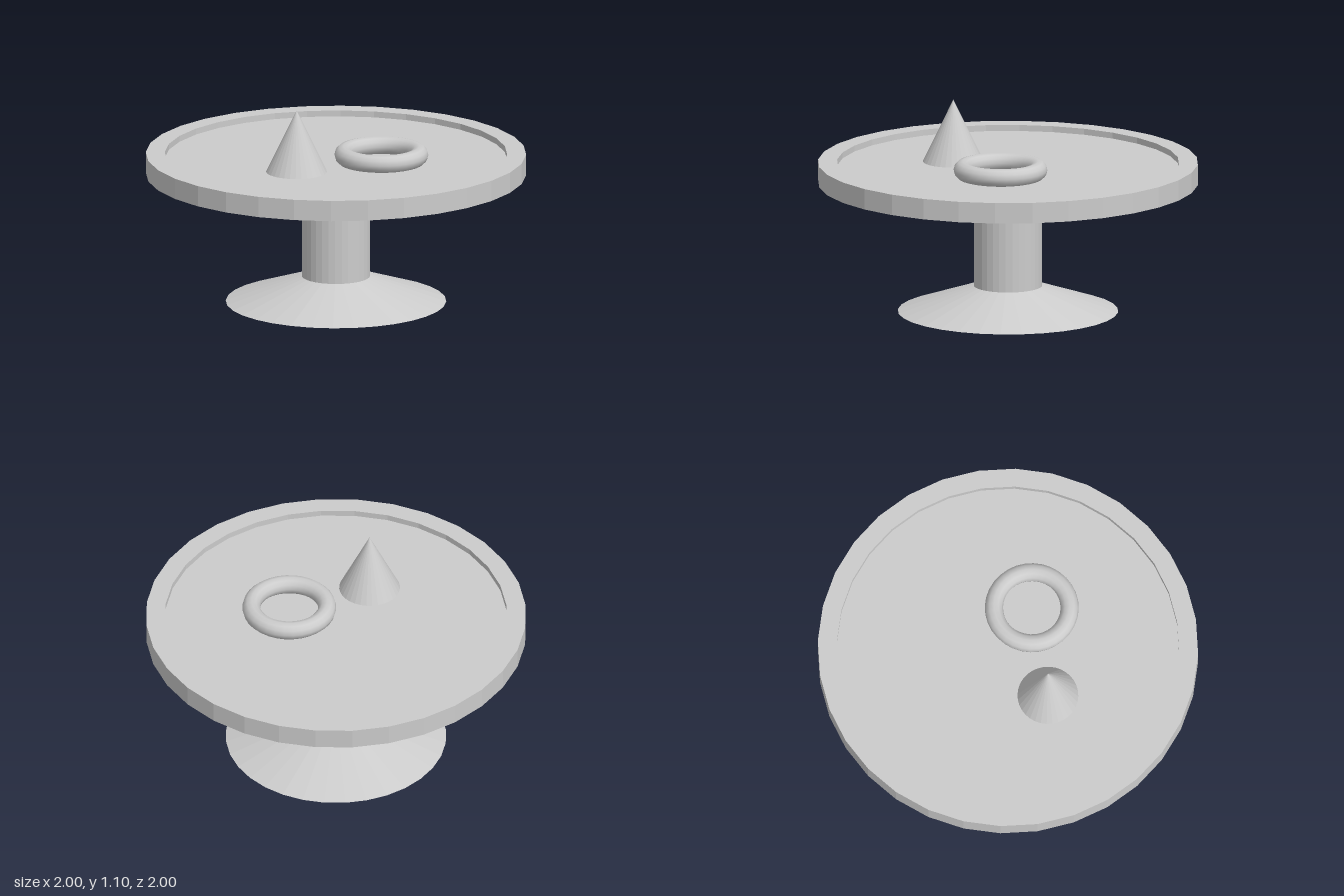
import * as THREE from 'three';
import { ConvexGeometry } from 'three/addons/geometries/ConvexGeometry.js';

const SIDES = 32;

export function createModel() {
  const group = new THREE.Group();
  const flat = new THREE.MeshStandardMaterial({ color: 0xcccccc, flatShading: true });
  const smooth = new THREE.MeshStandardMaterial({ color: 0xcccccc });

  const add = (name, geometry, material, x = 0, y = 0, z = 0) => {
    const mesh = new THREE.Mesh(geometry, material);
    mesh.name = name;
    mesh.position.set(x, y, z);
    group.add(mesh);
    return mesh;
  };
  const lathe = (points) =>
    new THREE.LatheGeometry(points.map(([r, y]) => new THREE.Vector2(r, y)), SIDES);
  const ring = (r, y) => Array.from({ length: SIDES }, (_, i) => {
    const a = (i / SIDES) * Math.PI * 2;
    return new THREE.Vector3(Math.sin(a) * r, y, Math.cos(a) * r);
  });

  // flared foot and column as one turned profile
  add('pedestal', lathe([[0, 0], [0.58, 0], [0.18, 0.137], [0.18, 0.68]]), flat);

  // round top: outer edge, raised rim, recessed floor
  add('tabletop', lathe([[1, 0.69], [1, 0.8], [0.9, 0.8], [0.9, 0.768], [0, 0.768]]), flat);

  // shallow, slightly lopsided underside
  add('underside', new ConvexGeometry([
    ...ring(1, 0.69),
    ...ring(0.18, 0.665),
    new THREE.Vector3(0.59, 0.665, -0.67),
  ]), flat);

  // objects resting on the floor of the top
  add('cone', new THREE.ConeGeometry(0.16, 0.332, SIDES), flat, -0.328, 0.934, 0.045);
  add('ring', new THREE.TorusGeometry(0.199, 0.048, 12, SIDES), smooth, 0.12, 0.813, 0.22)
    .rotation.x = -Math.PI / 2;

  return group;
}
